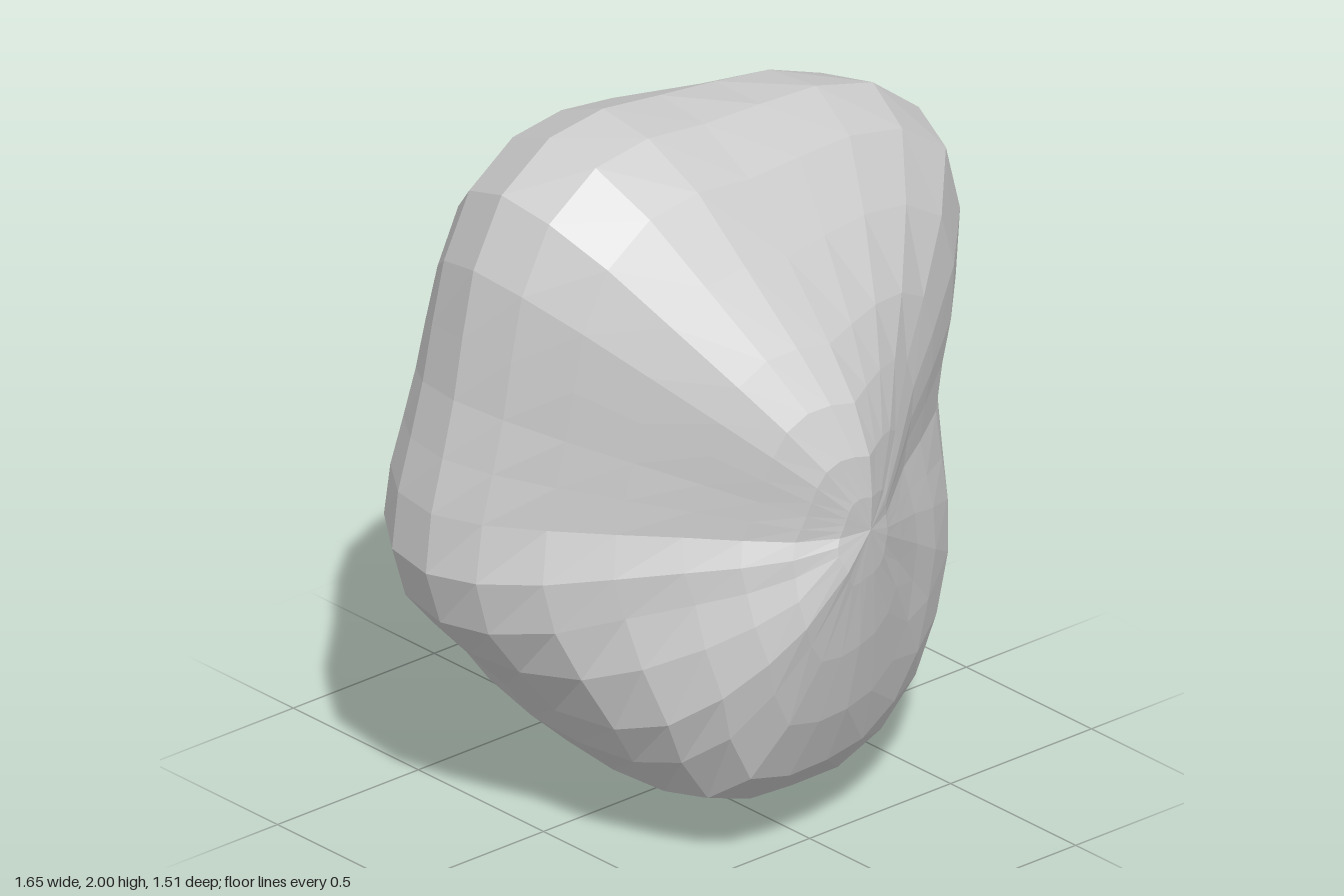
import * as THREE from 'three';

// Widest outline of the rock, 32 points counter-clockwise from +x (x, y)
const OUTLINE = [
  [0.77, 1.0], [0.79, 1.18], [0.82, 1.34], [0.825, 1.55], [0.76, 1.76], [0.6, 1.89], [0.4, 1.95], [0.2, 1.965],
  [0, 1.975], [-0.2, 2.0], [-0.39, 1.975], [-0.56, 1.86], [-0.66, 1.67], [-0.7, 1.48], [-0.73, 1.31], [-0.77, 1.15],
  [-0.81, 1.0], [-0.83, 0.83], [-0.78, 0.67], [-0.67, 0.54], [-0.55, 0.41], [-0.46, 0.29], [-0.33, 0.17], [-0.17, 0.08],
  [0, 0.03], [0.2, 0], [0.4, 0.04], [0.57, 0.15], [0.69, 0.31], [0.76, 0.5], [0.78, 0.68], [0.775, 0.83],
];

// Profiles from tip to waist at key directions: share of the outline, and depth
const FRONT = [
  { at: 0, f: [0.12, 0.25, 0.41, 0.59, 0.79, 0.92, 0.99], z: [0.7, 0.62, 0.52, 0.43, 0.32, 0.21, 0.07] },
  { at: 4, f: [0.1, 0.25, 0.42, 0.58, 0.78, 0.94, 1], z: [0.71, 0.63, 0.53, 0.46, 0.36, 0.24, 0.08] },
  { at: 8, f: [0.1, 0.22, 0.36, 0.5, 0.7, 0.88, 0.98], z: [0.75, 0.74, 0.68, 0.58, 0.41, 0.26, 0.08] },
  { at: 16, f: [0.12, 0.25, 0.37, 0.5, 0.65, 0.8, 0.93], z: [0.73, 0.67, 0.57, 0.45, 0.32, 0.18, 0.04] },
  { at: 18, f: [0.14, 0.28, 0.41, 0.53, 0.69, 0.85, 0.96], z: [0.74, 0.69, 0.61, 0.51, 0.37, 0.23, 0.06] },
  { at: 20, f: [0.16, 0.39, 0.55, 0.72, 0.88, 0.97, 1], z: [0.755, 0.73, 0.68, 0.6, 0.48, 0.32, 0.1] },
  { at: 22, f: [0.18, 0.43, 0.65, 0.85, 0.96, 1, 1.01], z: [0.74, 0.71, 0.66, 0.58, 0.45, 0.29, 0.09] },
  { at: 24, f: [0.15, 0.37, 0.58, 0.765, 0.895, 0.97, 1], z: [0.73, 0.7, 0.65, 0.57, 0.43, 0.27, 0.08] },
  { at: 28, f: [0.12, 0.29, 0.48, 0.65, 0.82, 0.95, 1], z: [0.71, 0.63, 0.54, 0.47, 0.37, 0.24, 0.08] },
];
const BACK = [
  { at: 0, f: [0.12, 0.28, 0.42, 0.57, 0.75, 0.89, 0.97], z: [-0.75, -0.69, -0.6, -0.5, -0.37, -0.24, -0.1] },
  { at: 5, f: [0.1, 0.23, 0.36, 0.52, 0.7, 0.85, 0.96], z: [-0.75, -0.7, -0.61, -0.51, -0.38, -0.25, -0.1] },
  { at: 8, f: [0.1, 0.23, 0.38, 0.57, 0.78, 0.92, 1], z: [-0.75, -0.72, -0.65, -0.55, -0.43, -0.29, -0.1] },
  { at: 12, f: [0.1, 0.24, 0.4, 0.6, 0.79, 0.93, 1], z: [-0.75, -0.7, -0.62, -0.52, -0.4, -0.27, -0.1] },
  { at: 16, f: [0.1, 0.26, 0.46, 0.68, 0.85, 0.97, 1], z: [-0.75, -0.69, -0.6, -0.51, -0.4, -0.26, -0.1] },
  { at: 24, f: [0.17, 0.38, 0.55, 0.71, 0.84, 0.94, 0.99], z: [-0.75, -0.72, -0.66, -0.58, -0.46, -0.3, -0.1] },
];

// Blends the two key profiles on either side of direction i
function pointOn(keys, ring, i) {
  let k = keys.length - 1;
  while (keys[k].at > i) k--;
  const a = keys[k], b = keys[(k + 1) % keys.length];
  const end = b.at > a.at ? b.at : OUTLINE.length;
  const t = (i - a.at) / (end - a.at);
  const f = THREE.MathUtils.lerp(a.f[ring], b.f[ring], t);
  const z = THREE.MathUtils.lerp(a.z[ring], b.z[ring], t);
  const [x, y] = OUTLINE[i];
  return [x * f, 1 + (y - 1) * f, z];
}

function rockGeometry() {
  const n = OUTLINE.length, rings = 14;
  const positions = [0, 1, 0.745];
  const index = [];
  for (let r = 0; r < rings; r++) {
    for (let i = 0; i < n; i++) {
      positions.push(...(r < 7 ? pointOn(FRONT, r, i) : pointOn(BACK, 13 - r, i)));
    }
  }
  positions.push(0, 1, -0.76);
  const last = 1 + rings * n;
  const id = (r, i) => 1 + r * n + (i % n);
  for (let i = 0; i < n; i++) {
    // front tip, bands, back tip
    index.push(0, id(0, i), id(0, i + 1));
    for (let r = 0; r < rings - 1; r++) {
      const a = id(r, i), b = id(r + 1, i), c = id(r + 1, i + 1), d = id(r, i + 1);
      index.push(a, b, c, a, c, d);
    }
    index.push(last, id(rings - 1, i + 1), id(rings - 1, i));
  }
  const indexed = new THREE.BufferGeometry();
  indexed.setAttribute('position', new THREE.Float32BufferAttribute(positions, 3));
  indexed.setIndex(index);
  // unshared corners give faceted normals
  const geometry = indexed.toNonIndexed();
  geometry.computeVertexNormals();
  return geometry;
}

export function createModel() {
  const group = new THREE.Group();
  group.name = 'rock';
  const stone = new THREE.MeshStandardMaterial({ color: 0xcacaca });
  stone.name = 'stone grey';
  stone.flatShading = true;
  const boulder = new THREE.Mesh(rockGeometry(), stone);
  boulder.name = 'boulder';
  group.add(boulder);
  return group;
}
